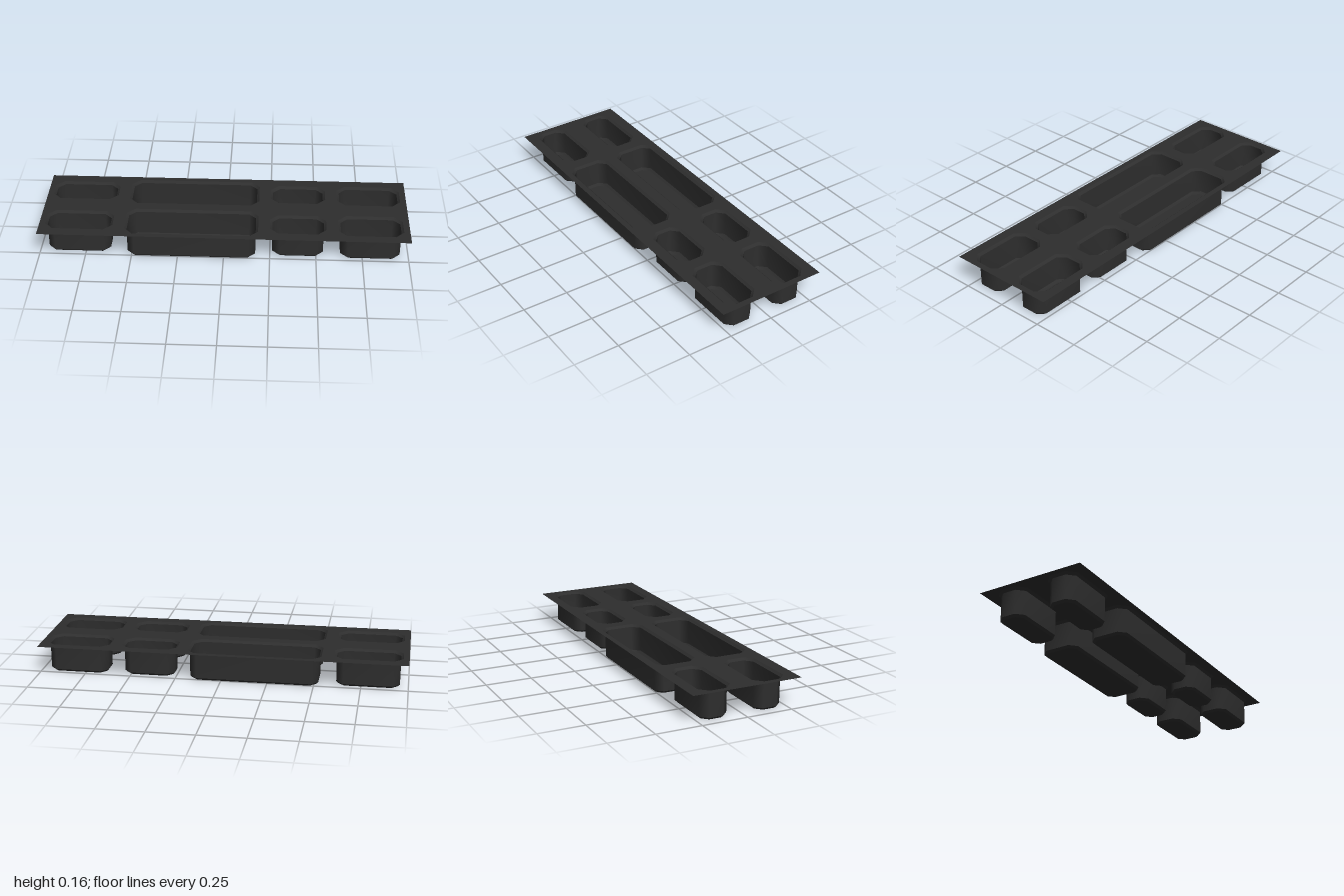
import * as THREE from 'three';

const TOP = 0.159;      // height of the sheet
const CORNER = 0.045;   // corner cut of the rim
// wall profile from rim to floor: [inset, height]
const PROFILE = [[0, TOP], [0.013, 0.147], [0.014, 0.012], [0.026, 0]];

// rim half sizes and x centre of each pocket column
const COLUMNS = [
  { name: 'wideCup', x: -0.786, hw: 0.183, hd: 0.09 },
  { name: 'longTray', x: -0.176, hw: 0.361, hd: 0.121 },
  { name: 'smallCup', x: 0.4, hw: 0.152, hd: 0.089 },
  { name: 'endCup', x: 0.792, hw: 0.175, hd: 0.097 },
];
const ROWS = [{ name: 'front', z: 0.151 }, { name: 'back', z: -0.151 }];

// Rectangle with cut corners, counter-clockwise
function outline(hw, hd, inset) {
  const w = hw - inset, d = hd - inset, c = CORNER - inset * 0.5;
  return [
    [w, -d + c], [w, d - c], [w - c, d], [-w + c, d],
    [-w, d - c], [-w, -d + c], [-w + c, -d], [w - c, -d],
  ].map(([x, y]) => new THREE.Vector2(x, y));
}

// One band of pocket wall between two profile steps, facing inward
function band(hw, hd, [insetA, yA], [insetB, yB]) {
  const a = outline(hw, hd, insetA), b = outline(hw, hd, insetB);
  const pos = [], index = [], n = a.length;
  for (let i = 0; i < n; i++) {
    pos.push(a[i].x, yA, -a[i].y, b[i].x, yB, -b[i].y);
    const p = i * 2, q = ((i + 1) % n) * 2;
    index.push(p, q, p + 1, q, q + 1, p + 1);
  }
  const g = new THREE.BufferGeometry();
  g.setAttribute('position', new THREE.Float32BufferAttribute(pos, 3));
  g.setIndex(index);
  g.computeVertexNormals();
  return g;
}

export function createModel() {
  const model = new THREE.Group();
  model.name = 'pocketTray';
  const plastic = new THREE.MeshStandardMaterial({ color: 0x2e2e2e, side: THREE.DoubleSide });
  plastic.name = 'black plastic';

  const add = (parent, geometry, name) => {
    const mesh = new THREE.Mesh(geometry, plastic);
    mesh.name = name;
    parent.add(mesh);
  };

  // Flat sheet with a hole for every pocket
  const sheet = new THREE.Shape([[-1, -0.302], [1, -0.302], [1, 0.302], [-1, 0.302]]
    .map(([x, y]) => new THREE.Vector2(x, y)));

  for (const row of ROWS) {
    for (const { name, x, hw, hd } of COLUMNS) {
      const offset = new THREE.Vector2(x, -row.z);
      sheet.holes.push(new THREE.Path(outline(hw, hd, 0).map(p => p.add(offset)).reverse()));

      const pocket = new THREE.Group();
      pocket.name = `${row.name} ${name}`;
      pocket.position.set(x, 0, row.z);

      // Sloped rim, wall and lower chamfer
      ['rim', 'wall', 'chamfer'].forEach((part, i) =>
        add(pocket, band(hw, hd, PROFILE[i], PROFILE[i + 1]), part));

      // Floor
      const floor = new THREE.ShapeGeometry(new THREE.Shape(outline(hw, hd, PROFILE[3][0])));
      add(pocket, floor.rotateX(-Math.PI / 2), 'floor');
      model.add(pocket);
    }
  }

  add(model, new THREE.ShapeGeometry(sheet).rotateX(-Math.PI / 2).translate(0, TOP, 0), 'sheet');
  return model;
}
